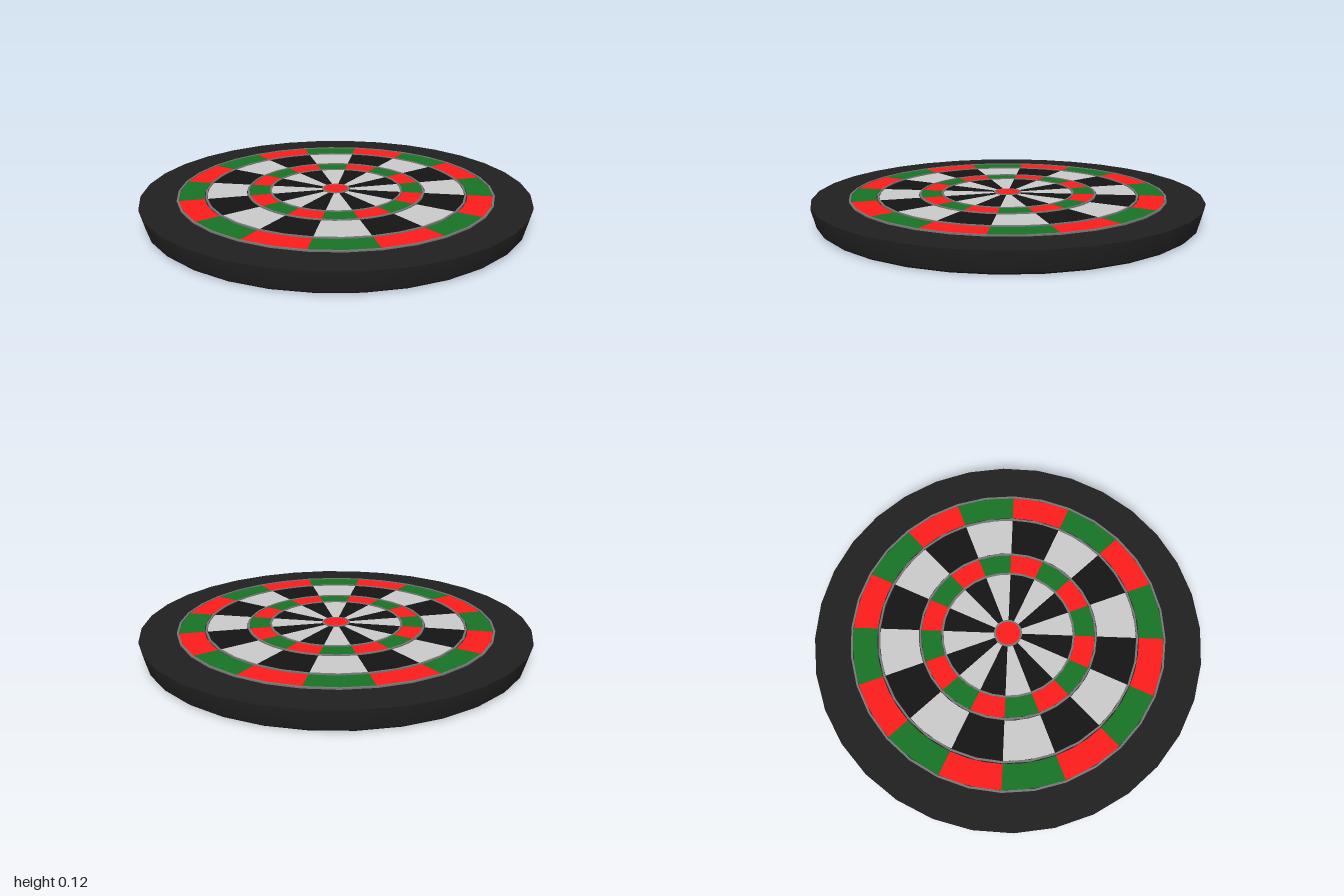
import * as THREE from 'three';
import { mergeGeometries, toCreasedNormals } from 'three/addons/utils/BufferGeometryUtils.js';

const SECTORS = 16;
const STEP = (Math.PI * 2) / SECTORS;
const START = THREE.MathUtils.degToRad(75); // first sector edge
const SIDES = 32;

const BLACK = 0x141414, WHITE = 0xcccccc, RED = 0xff1c1c, GREEN = 0x187426;

function lathe(name, profile, color, phiStart = 0) {
  const points = profile.map(([r, y]) => new THREE.Vector2(r, y));
  const geometry = toCreasedNormals(new THREE.LatheGeometry(points, SIDES, phiStart), 0.5);
  const mesh = new THREE.Mesh(geometry, new THREE.MeshStandardMaterial({ color }));
  mesh.name = name;
  return mesh;
}

// Every second sector of a flat ring, merged into one mesh
function sectors(name, inner, outer, color, first) {
  const parts = [];
  for (let k = first; k < SECTORS; k += 2) {
    parts.push(new THREE.RingGeometry(inner, outer, SIDES / SECTORS, 1, START + k * STEP, STEP));
  }
  const geometry = mergeGeometries(parts).rotateX(-Math.PI / 2);
  const mesh = new THREE.Mesh(geometry, new THREE.MeshStandardMaterial({ color }));
  mesh.name = name;
  mesh.position.y = 0.113;
  return mesh;
}

export function createModel() {
  const board = new THREE.Group();
  board.name = 'dartboard';

  // Tapered backing disc
  board.add(lathe('backing', [
    [0, 0], [0.965, 0], [0.977, 0.01], [1, 0.1], [1, 0.11], [0, 0.11],
  ], 0x202020));

  // Playing surface: wedges and scoring rings
  const bands = [
    ['innerWedges', 0.06, 0.335, BLACK, WHITE],
    ['innerScoringRing', 0.345, 0.448, RED, GREEN],
    ['outerWedges', 0.462, 0.662, BLACK, WHITE],
    ['outerScoringRing', 0.677, 0.803, RED, GREEN],
  ];
  for (const [name, inner, outer, even, odd] of bands) {
    board.add(sectors(name + 'Even', inner, outer, even, 0));
    board.add(sectors(name + 'Odd', inner, outer, odd, 1));
  }

  // Raised wire hoops
  for (const r of [0.068, 0.34, 0.455, 0.669, 0.81]) {
    const w = 0.005;
    board.add(lathe('wireHoop', [
      [r + w, 0.11], [r + w, 0.117], [r - w, 0.117], [r - w, 0.11],
    ], 0x777777, START + Math.PI / 2));
  }

  // Centre spot
  board.add(lathe('bullseye', [[0.063, 0.11], [0.063, 0.116], [0, 0.116]], RED));

  return board;
}
